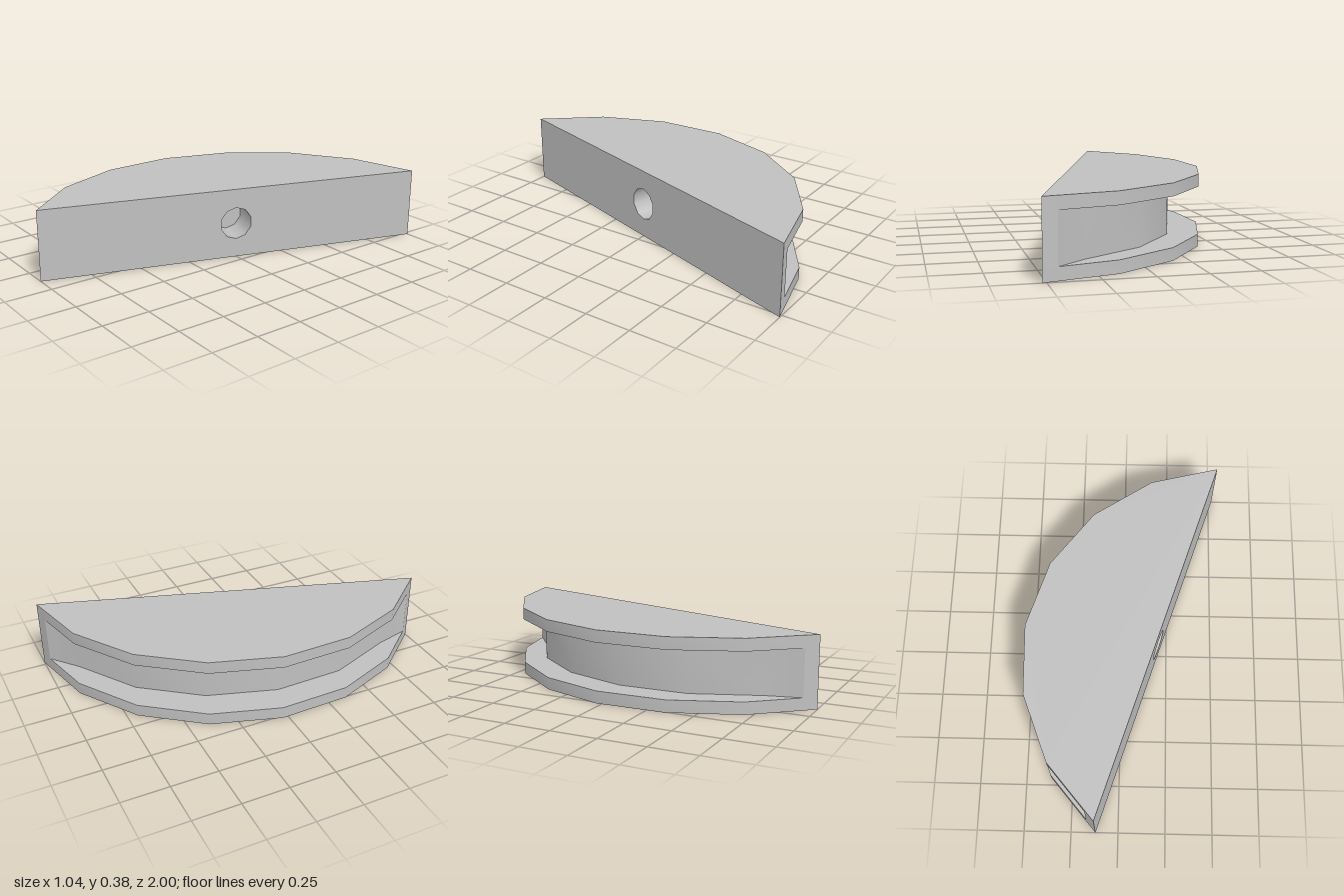
import * as THREE from 'three';
import { toCreasedNormals } from 'three/addons/utils/BufferGeometryUtils.js';

const HEIGHT = 0.38, FLANGE = 0.065, GROOVE = 0.16;
const RADIUS = 1.1325, HALF_ANGLE = THREE.MathUtils.degToRad(68), SEGMENTS = 7;
const HOLE_RADIUS = 0.0875, HOLE_DEPTH = 0.17, HOLE_SIDES = 10;

// Upright wall following a path of (along chord, out from chord) points
function wall(path, y0, y1) {
  const position = [], index = [];
  path.forEach((p, i) => {
    position.push(p.x, y0, -p.y, p.x, y1, -p.y);
    if (i > 0) {
      const b = 2 * (i - 1);
      index.push(b, b + 2, b + 1, b + 2, b + 3, b + 1);
    }
  });
  const geometry = new THREE.BufferGeometry();
  geometry.setAttribute('position', new THREE.Float32BufferAttribute(position, 3));
  geometry.setIndex(index);
  geometry.computeVertexNormals();
  return geometry;
}

export function createModel() {
  const grey = new THREE.MeshStandardMaterial({ color: 0xc0c0c0, side: THREE.DoubleSide });
  grey.name = 'lightGrey';
  const model = new THREE.Group();
  model.name = 'groovedSegment';
  const add = (name, geometry) => {
    const mesh = new THREE.Mesh(geometry, grey);
    mesh.name = name;
    model.add(mesh);
    return mesh;
  };

  // Faceted arc over a chord lying on y = 0
  const arc = [];
  for (let i = 0; i <= SEGMENTS; i++) {
    const a = HALF_ANGLE * (1 - 2 * i / SEGMENTS);
    arc.push(new THREE.Vector2(RADIUS * Math.sin(a), RADIUS * (Math.cos(a) - Math.cos(HALF_ANGLE))));
  }
  const first = arc[0], last = arc[SEGMENTS];

  // Upper and lower flanges
  const flange = new THREE.ExtrudeGeometry(new THREE.Shape(arc), { depth: FLANGE, bevelEnabled: false });
  flange.rotateX(-Math.PI / 2);
  const flangeGeometry = toCreasedNormals(flange, THREE.MathUtils.degToRad(35));
  add('lowerFlange', flangeGeometry);
  add('upperFlange', flangeGeometry).position.y = HEIGHT - FLANGE;

  // Groove floor: the arc shifted toward the chord, meeting the rim near both ends
  const y0 = FLANGE, y1 = HEIGHT - FLANGE;
  const t = FLANGE / arc[1].y;
  const start = first.clone().lerp(arc[1], t);
  const end = last.clone().lerp(arc[SEGMENTS - 1], t);
  const inner = arc.slice(1, -1).map(p => new THREE.Vector2(p.x, p.y - GROOVE));
  add('grooveFloor', wall([start, ...inner, end], y0, y1));
  add('rimEndBack', wall([first, start], y0, y1));
  add('rimEndFront', wall([end, last], y0, y1));

  // Flat face between the flanges, pierced by the socket
  const mid = HEIGHT / 2;
  const face = new THREE.Shape([
    new THREE.Vector2(last.x, y0), new THREE.Vector2(first.x, y0),
    new THREE.Vector2(first.x, y1), new THREE.Vector2(last.x, y1),
  ]);
  const rim = [];
  for (let i = 0; i < HOLE_SIDES; i++) {
    const a = i / HOLE_SIDES * Math.PI * 2;
    rim.push(new THREE.Vector2(HOLE_RADIUS * Math.sin(a), mid + HOLE_RADIUS * Math.cos(a)));
  }
  face.holes.push(new THREE.Path(rim));
  add('flatFace', new THREE.ShapeGeometry(face));

  // Blind socket
  const socket = new THREE.CylinderGeometry(HOLE_RADIUS, HOLE_RADIUS, HOLE_DEPTH, HOLE_SIDES, 1, true);
  socket.rotateX(Math.PI / 2);
  add('socketWall', socket).position.set(0, mid, -HOLE_DEPTH / 2);
  add('socketBottom', new THREE.CircleGeometry(HOLE_RADIUS, HOLE_SIDES, Math.PI / 2))
    .position.set(0, mid, -HOLE_DEPTH);

  // Turn the chord into place
  model.rotation.y = Math.atan2(1, 0.32);
  model.position.x = 0.2;
  const root = new THREE.Group();
  root.add(model);
  return root;
}
